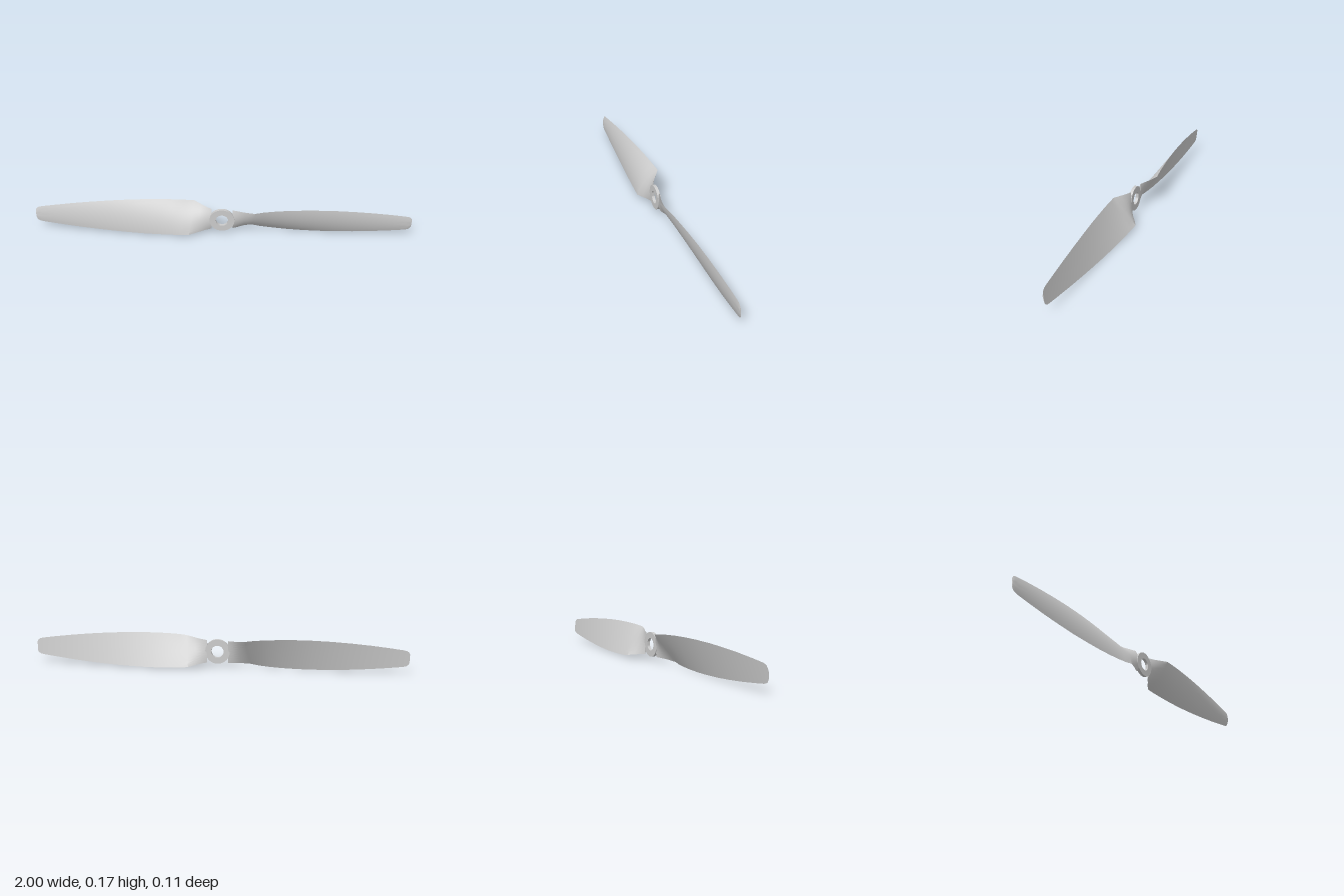
import * as THREE from 'three';
import { toCreasedNormals } from 'three/addons/utils/BufferGeometryUtils.js';

const AXIS_Y = 0.0875;

// Blade stations: [x, half height, half depth, chord z offset, thickness, sweep]
const STATIONS = [
  [0.056, 0.061, 0.004, 0.006, 0.013, 0],
  [0.085, 0.063, 0.017, 0.004, 0.015, 0.002],
  [0.12, 0.067, 0.036, 0.002, 0.017, 0.006],
  [0.162, 0.074, 0.056, 0, 0.019, 0.012],
  [0.21, 0.080, 0.0505, 0, 0.019, 0.008],
  [0.27, 0.084, 0.0455, 0, 0.018, 0.003],
  [0.34, 0.0868, 0.040, 0, 0.017, 0],
  [0.42, 0.0875, 0.0345, 0, 0.016, 0],
  [0.50, 0.0862, 0.029, 0, 0.0145, 0],
  [0.60, 0.082, 0.0225, 0, 0.0125, 0],
  [0.70, 0.075, 0.017, 0, 0.011, 0],
  [0.80, 0.066, 0.012, 0, 0.009, 0],
  [0.90, 0.0545, 0.0075, 0, 0.007, 0],
  [0.965, 0.046, 0.005, 0, 0.006, 0],
  [0.983, 0.042, 0.0042, 0, 0.0055, 0],
  [0.994, 0.035, 0.0034, 0, 0.005, 0],
  [1.0, 0.024, 0.0024, 0, 0.004, 0],
];

// Flat back and arched front, lofted along x
function bladeGeometry() {
  const N = 14, ring = 2 * N;
  const pos = [], index = [];
  for (const [x, h, d, zc, t, sweep] of STATIONS) {
    const len = Math.hypot(h, d);
    for (let j = 0; j < ring; j++) {
      const front = j <= N;
      const s = Math.cos((j / N) * Math.PI); // +1 top edge, -1 bottom edge
      const bulge = front ? t * (1 - s * s) : 0;
      pos.push(x + sweep * s, h * s - bulge * d / len, zc + d * s + bulge * h / len);
    }
  }
  const last = STATIONS.length - 1;
  for (let i = 0; i < last; i++) {
    for (let j = 0; j < ring; j++) {
      const k = (j + 1) % ring;
      const a = i * ring + j, b = i * ring + k, c = b + ring, e = a + ring;
      index.push(a, b, e, b, c, e);
    }
  }
  // End caps
  for (let j = 1; j < ring - 1; j++) {
    index.push(0, j + 1, j);
    index.push(last * ring, last * ring + j, last * ring + j + 1);
  }
  const geo = new THREE.BufferGeometry();
  geo.setAttribute('position', new THREE.Float32BufferAttribute(pos, 3));
  geo.setIndex(index);
  return toCreasedNormals(geo, 0.4);
}

export function createModel() {
  const group = new THREE.Group();
  group.name = 'propeller';
  const material = new THREE.MeshStandardMaterial({ color: 0xcccccc });

  // Two blades, the second turned half a revolution about the shaft
  const geo = bladeGeometry();
  ['leftBlade', 'rightBlade'].forEach((name, i) => {
    const blade = new THREE.Mesh(geo, material);
    blade.name = name;
    blade.position.y = AXIS_Y;
    blade.rotation.z = i * Math.PI;
    group.add(blade);
  });

  // Hub ring with shaft hole
  const ringShape = new THREE.Shape().absarc(0, 0, 0.066, 0, Math.PI * 2, false);
  ringShape.holes.push(new THREE.Path().absarc(0, 0, 0.033, 0, Math.PI * 2, true));
  const hubGeo = new THREE.ExtrudeGeometry(ringShape, { depth: 0.016, bevelEnabled: false, curveSegments: 32 });
  const hub = new THREE.Mesh(toCreasedNormals(hubGeo, 0.6), material);
  hub.name = 'hub';
  hub.position.set(0, AXIS_Y, 0.005);
  group.add(hub);

  return group;
}
